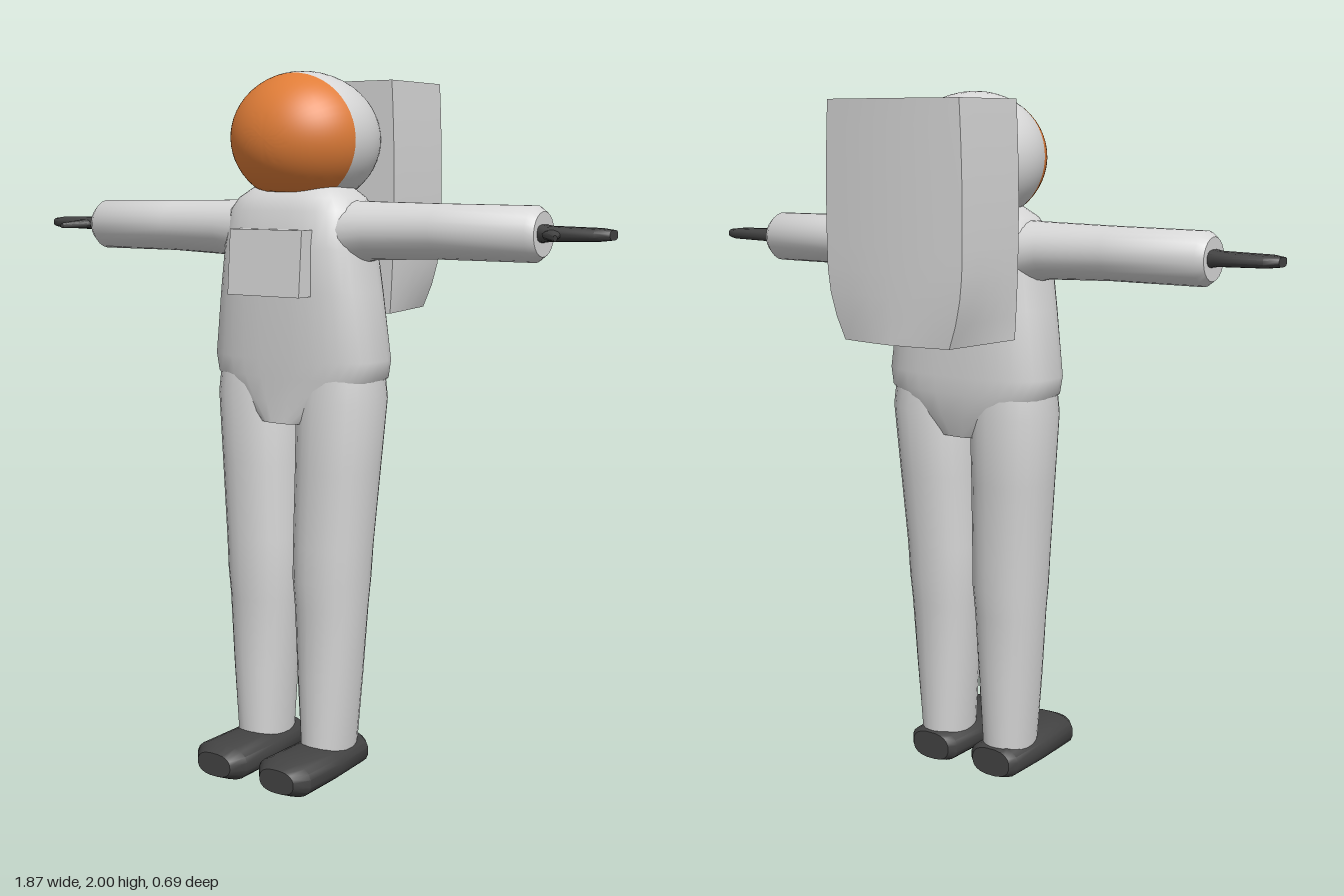
import * as THREE from 'three';
import { toCreasedNormals } from 'three/addons/utils/BufferGeometryUtils.js';

const material = (name, color, side = THREE.FrontSide) =>
  Object.assign(new THREE.MeshStandardMaterial({ color, side }), { name });

// Skin through cross-sections [t, cu, cv, ru, rv]; axes (u, v, t) run
// (z, x, y), (x, y, z) or (y, z, x) for axis 'y', 'z' or 'x'.
function loft(axis, sections, n = 24, power = 1) {
  const place = {
    x: (t, u, v) => [t, u, v],
    y: (t, u, v) => [v, t, u],
    z: (t, u, v) => [u, v, t],
  }[axis];
  const bend = (w) => Math.sign(w) * Math.abs(w) ** power;
  const pos = [], index = [];
  for (const [t, cu, cv, ru, rv] of sections) {
    for (let i = 0; i < n; i++) {
      const a = ((i + 0.5) / n) * Math.PI * 2;
      pos.push(...place(t, cu + ru * bend(Math.cos(a)), cv + rv * bend(Math.sin(a))));
    }
  }
  const last = sections.length - 1;
  for (let s = 0; s < last; s++) {
    for (let i = 0; i < n; i++) {
      const j = (i + 1) % n, a = s * n, b = a + n;
      index.push(a + i, a + j, b + j, a + i, b + j, b + i);
    }
  }
  // End caps
  for (const s of [0, last]) {
    const c = pos.length / 3, [t, cu, cv] = sections[s];
    pos.push(...place(t, cu, cv));
    for (let i = 0; i < n; i++) {
      const p = s * n + i, q = s * n + ((i + 1) % n);
      index.push(c, ...(s ? [p, q] : [q, p]));
    }
  }
  const geo = new THREE.BufferGeometry();
  geo.setAttribute('position', new THREE.Float32BufferAttribute(pos, 3));
  geo.setIndex(index);
  return geo;
}

// Mirror across x = 0, keeping faces outward
function mirrored(geo) {
  const copy = geo.clone().scale(-1, 1, 1);
  const ids = Array.from(copy.index.array);
  for (let i = 0; i < ids.length; i += 3) [ids[i], ids[i + 1]] = [ids[i + 1], ids[i]];
  copy.setIndex(ids);
  return copy;
}

// Move every vertex by a rule
function warp(geo, rule) {
  const p = geo.attributes.position, v = new THREE.Vector3();
  for (let i = 0; i < p.count; i++) {
    rule(v.fromBufferAttribute(p, i));
    p.setXYZ(i, v.x, v.y, v.z);
  }
  return geo;
}

export function createModel() {
  const model = new THREE.Group();
  model.name = 'astronaut';
  const suit = material('suitGrey', 0xd6d6d6);
  const dark = material('rubberDark', 0x434343);
  const orange = material('visorOrange', 0xe07d38);

  const add = (name, geo, mat, crease = 0.75) => {
    const mesh = new THREE.Mesh(toCreasedNormals(geo, crease), mat);
    mesh.name = name;
    model.add(mesh);
  };
  const addPair = (name, geo, mat, crease) => {
    add('left' + name, geo, mat, crease);
    add('right' + name, mirrored(geo), mat, crease);
  };

  // Torso, narrowing to a flap between the legs
  add('torso', loft('y', [
    [1.03, 0.07, 0, 0.112, 0.09],
    [1.09, 0.06, 0, 0.122, 0.185],
    [1.16, 0.056, 0, 0.13, 0.262],
    [1.21, 0.057, 0, 0.132, 0.27],
    [1.4, 0.062, 0, 0.136, 0.243],
    [1.52, 0.065, 0, 0.135, 0.225],
    [1.62, 0.06, 0, 0.125, 0.21],
    [1.655, 0.055, 0, 0.115, 0.185],
    [1.685, 0.05, 0, 0.09, 0.14],
  ], 32, 0.7), suit, 0.8);

  // Legs with a slight knee
  addPair('Leg', loft('y', [
    [0.07, 0.083, 0.112, 0.095, 0.07],
    [0.3, 0.08, 0.114, 0.101, 0.088],
    [0.5, 0.076, 0.115, 0.104, 0.102],
    [0.58, 0.075, 0.115, 0.112, 0.108],
    [0.68, 0.073, 0.118, 0.111, 0.112],
    [0.9, 0.065, 0.128, 0.119, 0.118],
    [1.1, 0.058, 0.136, 0.124, 0.126],
    [1.2, 0.058, 0.138, 0.11, 0.115],
  ], 24, 0.9), suit);

  // Boots
  addPair('Boot', loft('z', [
    [-0.022, 0.11, 0.05, 0.065, 0.042],
    [0, 0.11, 0.05, 0.084, 0.049],
    [0.15, 0.11, 0.05, 0.09, 0.05],
    [0.305, 0.11, 0.053, 0.09, 0.052],
    [0.345, 0.11, 0.053, 0.058, 0.034],
  ], 20, 0.8), dark);

  // Sleeves with bevelled cuffs
  addPair('Arm', loft('x', [
    [0.14, 1.555, 0.06, 0.095, 0.105],
    [0.25, 1.567, 0.06, 0.079, 0.09],
    [0.45, 1.569, 0.056, 0.074, 0.08],
    [0.725, 1.568, 0.055, 0.073, 0.075],
    [0.745, 1.568, 0.055, 0.058, 0.06],
  ]), suit, 0.7);

  // Gloves: flat mitten and thumb
  addPair('Hand', loft('x', [
    [0.73, 1.57, 0.055, 0.026, 0.036],
    [0.765, 1.57, 0.055, 0.02, 0.045],
    [0.9, 1.57, 0.055, 0.017, 0.045],
    [0.935, 1.57, 0.055, 0.013, 0.025],
  ], 16, 0.7), dark);
  addPair('Thumb', loft('z', [
    [0.07, 0.775, 1.57, 0.03, 0.014],
    [0.11, 0.79, 1.567, 0.024, 0.013],
    [0.158, 0.825, 1.563, 0.006, 0.008],
  ], 12), dark);

  // Helmet: shell and visor are two caps of one flattened ball facing +z
  const rim = 1.287;
  const helmetCap = (start, length) => warp(
    new THREE.SphereGeometry(1, 48, 20, 0, Math.PI * 2, start, length).rotateX(Math.PI / 2),
    (v) => {
      const lean = 0.015 * v.y * (1 - Math.abs(v.z));
      v.set(v.x * 0.212, Math.max(1.815 + v.y * 0.185, 1.67), 0.04 + v.z * 0.205 + lean);
    });
  add('helmetShell', helmetCap(rim, Math.PI - rim), suit, 0.8);
  add('visor', helmetCap(0, rim), orange, 0.8);

  // Backpack, bulging at the sides and drawn in at the lower back
  add('backpack', warp(new THREE.BoxGeometry(2, 2, 2, 6, 10, 4), (v) => {
    const back = (1 - v.z) / 2;
    const low = Math.max(0, (-v.y - 0.35) / 0.65);
    const half = 0.215 + 0.01 * (1 - v.y * v.y) - 0.04 * back * low * low;
    const inset = 0.012 * back * (v.x * v.x + low * low * Math.abs(v.x));
    v.set(v.x * half, 1.6525 + v.y * 0.3225, -0.206 + v.z * 0.139 + inset);
  }), suit, 0.6);

  // Chest control box, leaning with the chest
  add('chestBox', warp(new THREE.BoxGeometry(0.24, 0.18, 0.08), (v) => {
    v.z += 0.2 - v.y * 0.08;
    v.y += 1.48;
  }), suit, 0.4);

  return model;
}
